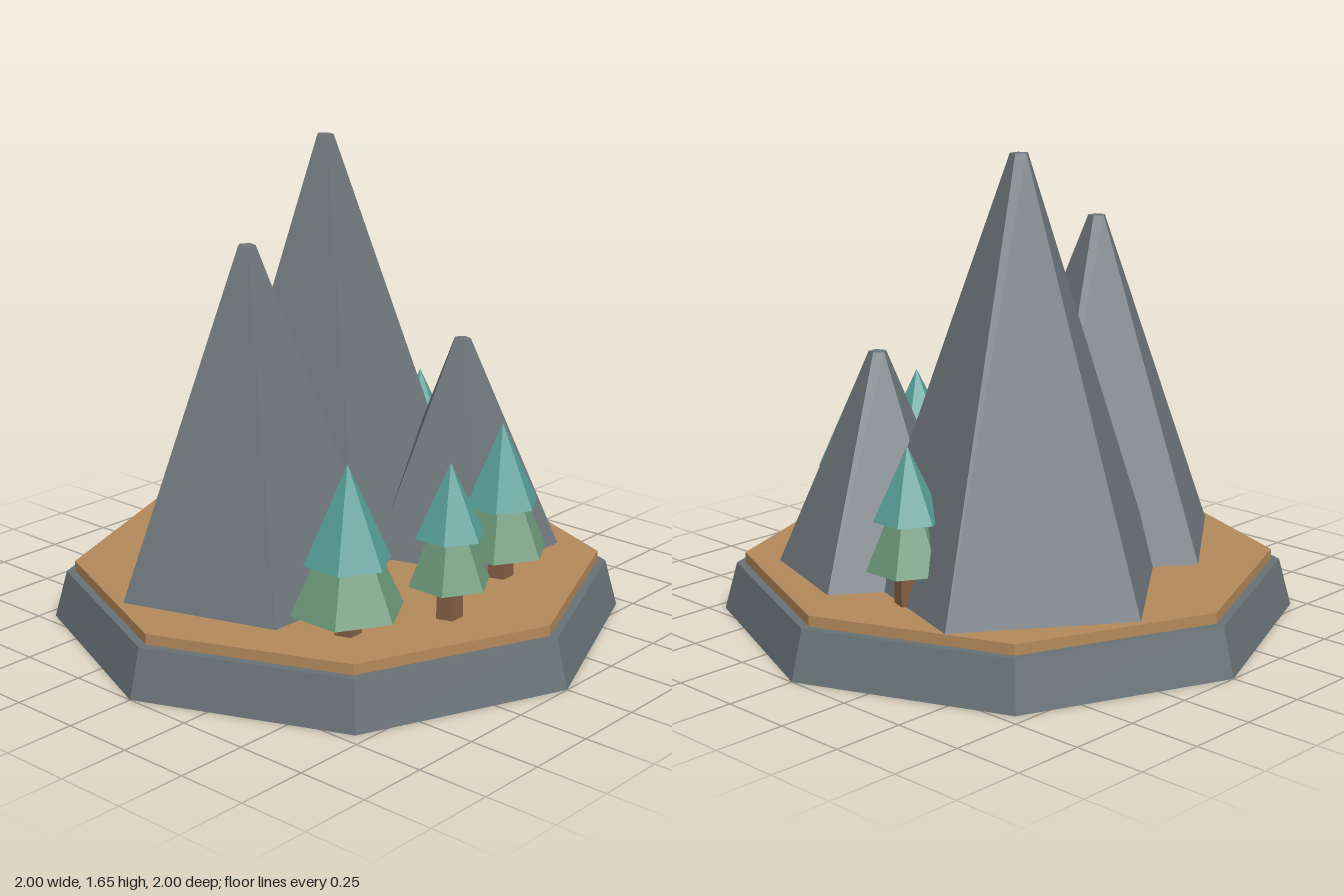
import * as THREE from 'three';

const mat = (name, color) => {
  const m = new THREE.MeshStandardMaterial({ color, flatShading: true });
  m.name = name;
  return m;
};

export function createModel() {
  const group = new THREE.Group();
  group.name = 'mountainIsland';

  const stone = mat('slate stone', 0x687276);
  const rock = mat('mountain grey', 0x6e767b);
  const earth = mat('tan earth', 0xb4895b);
  const bark = mat('brown bark', 0x835d43);
  const lowLeaf = mat('sage green', 0x6c9878);
  const topLeaf = mat('teal green', 0x589e97);

  // Tapered prism standing between heights y0 and y1
  const prism = (parent, name, material, rTop, rBottom, y0, y1, sides, turn = 0) => {
    const geo = new THREE.CylinderGeometry(rTop, rBottom, y1 - y0, sides);
    geo.rotateY(turn);
    const mesh = new THREE.Mesh(geo, material);
    mesh.name = name;
    mesh.position.y = (y0 + y1) / 2;
    parent.add(mesh);
  };

  // Octagonal base and ground slab
  const ground = 0.205;
  prism(group, 'base', stone, 0.955, 1, 0, 0.168, 8);
  prism(group, 'ground', earth, 0.925, 0.925, 0.168, ground, 8);

  // Five-sided mountains: x, z, base radius, peak height
  [
    [-0.342, -0.097, 0.48, 1.37],
    [0.232, -0.27, 0.535, 1.648],
    [0.415, 0.212, 0.357, 0.958],
  ].forEach(([x, z, r, peak], i) => {
    const m = new THREE.Group();
    m.name = `mountain${i + 1}`;
    m.position.set(x, 0, z);
    prism(m, 'peak', rock, 0.031, r, ground - 0.002, peak, 5, Math.PI);
    group.add(m);
  });

  // Pines: x, z, lower radius, lower base, upper radius, upper base, tip
  [
    [-0.482, 0.473, 0.192, 0.285, 0.147, 0.45, 0.775],
    [-0.16, 0.63, 0.142, 0.325, 0.12, 0.488, 0.735],
    [0.24, 0.533, 0.168, 0.303, 0.132, 0.47, 0.755],
    [0.62, -0.145, 0.14, 0.325, 0.115, 0.49, 0.735],
  ].forEach(([x, z, r1, y1, r2, y2, tip], i) => {
    const tree = new THREE.Group();
    tree.name = `pine${i + 1}`;
    tree.position.set(x, 0, z);
    prism(tree, 'trunk', bark, 0.046, 0.048, ground - 0.002, y1 + 0.03, 5, Math.PI);
    prism(tree, 'lowerFoliage', lowLeaf, 0, r1, y1, tip - 0.07, 6);
    prism(tree, 'upperFoliage', topLeaf, 0, r2, y2, tip, 6);
    group.add(tree);
  });

  return group;
}
